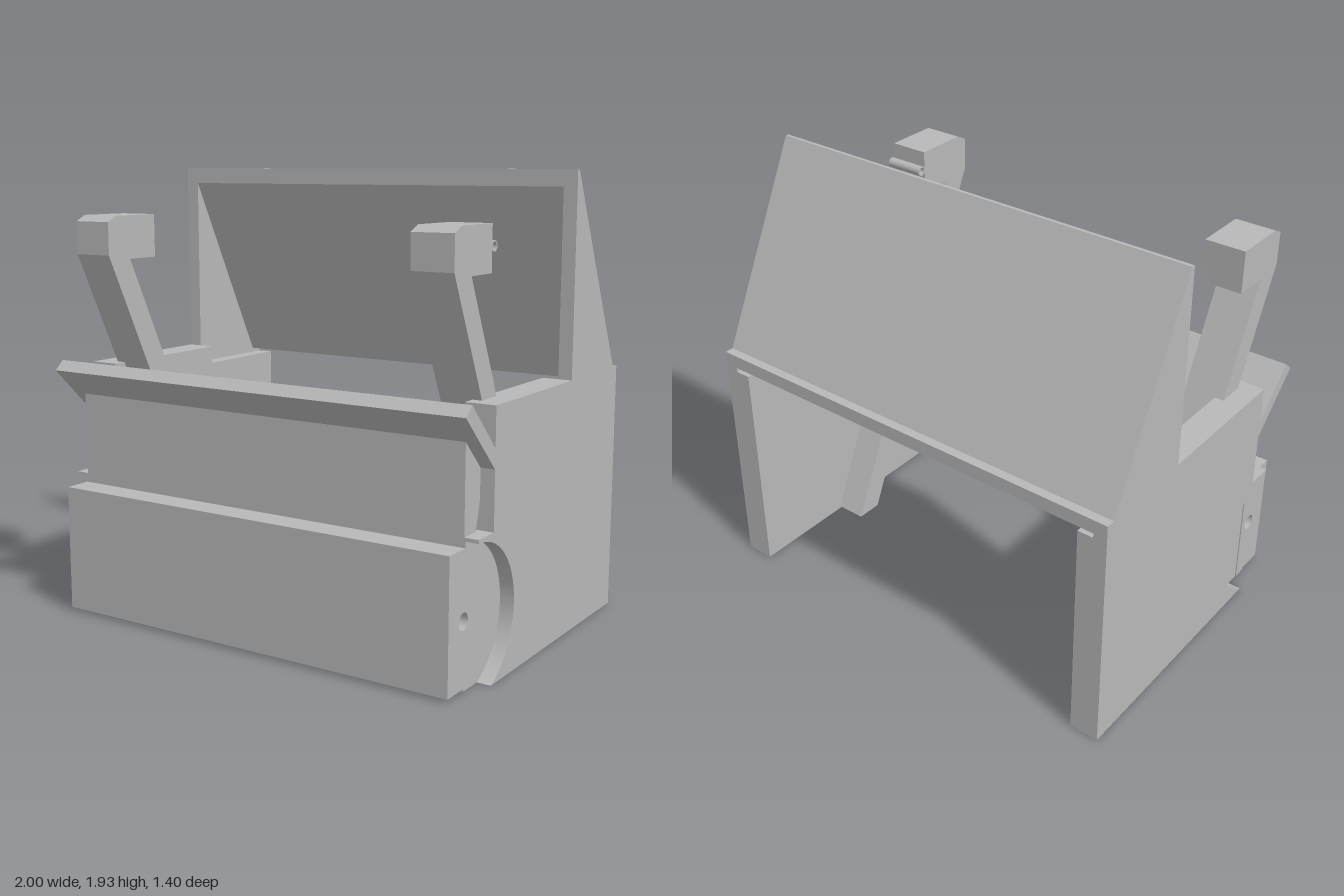
import * as THREE from 'three';

const grey = new THREE.MeshStandardMaterial({ color: 0xb8b8b8 });
grey.name = 'plain grey';

// Outline from [z, y] points
function outline(points) {
  return new THREE.Shape(points.map(([z, y]) => new THREE.Vector2(z, y)));
}

// Extrude a (z, y) shape across the model from x0 to x1
function across(name, shape, x0, x1) {
  const geo = new THREE.ExtrudeGeometry(shape, {
    depth: x1 - x0, bevelEnabled: false, curveSegments: 40,
  });
  geo.rotateY(-Math.PI / 2);
  geo.translate(x1, 0, 0);
  const mesh = new THREE.Mesh(geo, grey);
  mesh.name = name;
  return mesh;
}

export function createModel() {
  const model = new THREE.Group();
  model.name = 'openBoxWithHood';

  // Outer side skin: wall, hood cheek and round hinge recess
  const skin = new THREE.Shape();
  skin.moveTo(-0.7, 0);
  skin.lineTo(-0.7, 1.08);
  skin.lineTo(-0.66, 1.08);
  skin.lineTo(-0.235, 1.93);
  skin.lineTo(-0.22, 1.93);
  skin.lineTo(-0.22, 1.08);
  skin.lineTo(0.46, 1.08);
  skin.lineTo(0.46, 0.6);
  skin.lineTo(0.58, 0.6);
  skin.lineTo(0.58, 0.585);
  skin.absarc(0.58, 0.28, 0.305, Math.PI / 2, Math.PI + Math.asin(0.28 / 0.305), false);

  // Inner wall layer, cut lower under the hood
  const lining = outline([
    [-0.7, 0], [0.53, 0], [0.53, 0.6], [0.46, 0.6], [0.46, 1.08],
    [-0.22, 1.08], [-0.22, 1.0], [-0.7, 1.0],
  ]);

  // Slanted arm with a block head
  const arm = outline([
    [-0.22, 0.01], [-0.1, 0.01], [0.4, 1.08], [0.63, 1.57], [0.63, 1.71],
    [0.58, 1.735], [0.34, 1.735], [0.34, 1.55], [0.5, 1.55], [0.28, 1.08],
  ]);

  for (const [side, s] of [['left', 1], ['right', -1]]) {
    const add = (name, shape, a, b) =>
      model.add(across(side + name, shape, Math.min(s * a, s * b), Math.max(s * a, s * b)));
    add('Wall', skin, 0.94, 1);
    add('WallLining', lining, 0.87, 0.94);
    add('Arm', arm, 0.73, 0.91);
  }

  // Sloping hood panel with the rear header beam
  model.add(across('hoodPanel', outline([
    [-0.22, 1.93], [-0.235, 1.93], [-0.66, 1.08], [-0.7, 1.08],
    [-0.7, 1.02], [-0.64, 1.02], [-0.22, 1.86],
  ]), -0.94, 0.94));

  // Lower front with a pivot bore
  const front = outline([
    [0.52, 0.005], [0.58, 0.005], [0.58, 0.015], [0.7, 0.015],
    [0.7, 0.56], [0.58, 0.56], [0.58, 0.6], [0.49, 0.6], [0.52, 0.48],
  ]);
  const bore = new THREE.Path();
  bore.absarc(0.585, 0.28, 0.035, 0, Math.PI * 2, true);
  front.holes.push(bore);
  model.add(across('lowerFront', front, -0.945, 0.945));

  // Upper front panel
  model.add(across('upperFront', outline([
    [0.49, 0.6], [0.58, 0.6], [0.58, 0.96], [0.46, 0.84], [0.46, 0.72],
  ]), -0.94, 0.94));

  // Slanted front lip
  model.add(across('frontLip', outline([
    [0.65, 1.11], [0.4, 0.86], [0.4, 0.83], [0.45, 0.83], [0.695, 1.07],
  ]), -1, 1));

  // Small hollow tube behind the left arm head
  const tube = new THREE.Shape();
  tube.absarc(0.32, 1.65, 0.022, 0, Math.PI * 2, false);
  const tubeBore = new THREE.Path();
  tubeBore.absarc(0.32, 1.65, 0.016, 0, Math.PI * 2, true);
  tube.holes.push(tubeBore);
  model.add(across('headTube', tube, 0.73, 0.91));

  return model;
}
